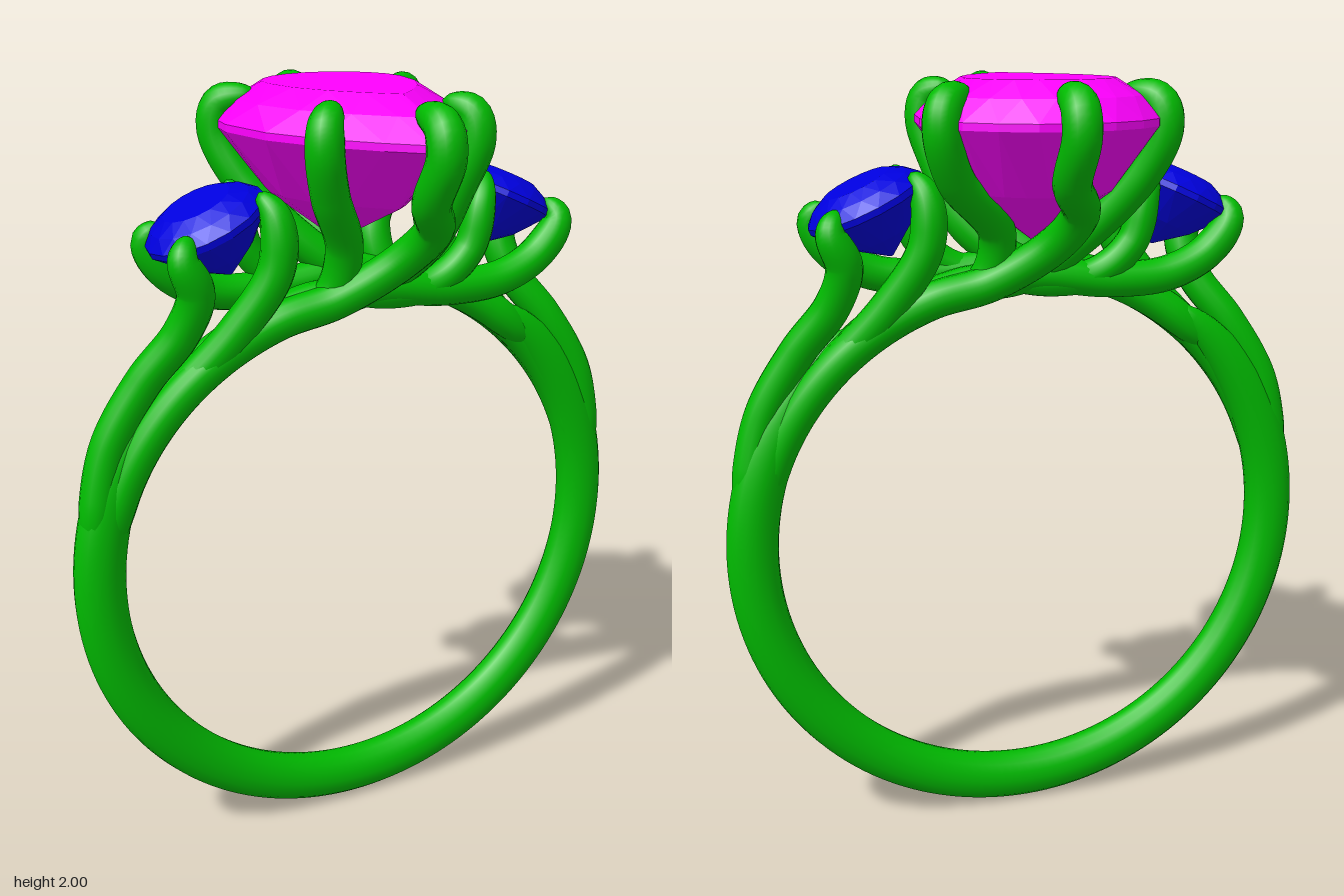
import * as THREE from 'three';

const metal = new THREE.MeshStandardMaterial({ color: 0x00bb00 });
const pink = new THREE.MeshStandardMaterial({ color: 0xff00ff, flatShading: true });
const blue = new THREE.MeshStandardMaterial({ color: 0x0000dd, flatShading: true });

const hoopY = 0.802;

// Points on a circle about the finger, angle in degrees from the top, easing out to z
function arc(radius, from, to, z, steps) {
  return Array.from({ length: steps + 1 }, (_, i) => {
    const t = i / steps;
    const a = THREE.MathUtils.degToRad(from + (to - from) * t);
    return [Math.sin(a) * radius, hoopY + Math.cos(a) * radius, z * t ** 1.4];
  });
}

// Claw gripping the centre stone at the girdle point (x, z) and bending inwards
function claw(x, z) {
  const steps = [[0.87, 1.77], [1.02, 1.88], [0.98, 1.945], [0.72, 1.972]];
  return steps.map(([k, y]) => [x * k, y, z * k]);
}

// Tube along points, both ends tapering to a rounded point over the given length
function strand(name, pts, radius, taper = 0.15) {
  const curve = new THREE.CatmullRomCurve3(pts.map(p => new THREE.Vector3(...p)));
  const seg = 128, sides = 16;
  const geo = new THREE.TubeGeometry(curve, seg, radius, sides);
  const { position, normal } = geo.attributes;
  const v = new THREE.Vector3(), w = new THREE.Vector3();
  const length = curve.getLength();
  for (let i = 0; i <= seg; i++) {
    const c = curve.getPointAt(i / seg);
    const d = Math.min(1, Math.min(i, seg - i) / seg * length / taper);
    const k = Math.sqrt(1 - (1 - d) ** 2);
    for (let j = 0; j <= sides; j++) {
      const n = i * (sides + 1) + j;
      v.fromBufferAttribute(position, n).sub(c).multiplyScalar(k).add(c);
      position.setXYZ(n, v.x, v.y, v.z);
    }
  }
  geo.computeVertexNormals();
  // smooth the shading across the tube seam
  for (let i = 0; i <= seg; i++) {
    const a = i * (sides + 1), b = a + sides;
    v.fromBufferAttribute(normal, a).add(w.fromBufferAttribute(normal, b)).normalize();
    normal.setXYZ(a, v.x, v.y, v.z);
    normal.setXYZ(b, v.x, v.y, v.z);
  }
  const mesh = new THREE.Mesh(geo, metal);
  mesh.name = name;
  return mesh;
}

// Faceted stone: rings of [scale, y, angular offset in steps] from culet up to table
function gem(name, outline, n, rings, zc, material) {
  const at = (r, i) => {
    const [s, y, off] = rings[r];
    const [x, z] = outline(((i + off) / n) * Math.PI * 2);
    return [x * s, y, zc + (z - zc) * s];
  };
  const out = [];
  const top = rings.length - 1;
  for (let i = 0; i < n; i++) {
    for (let r = 0; r < top; r++) {
      out.push(...at(r, i), ...at(r, i + 1), ...at(r + 1, i));
      out.push(...at(r, i + 1), ...at(r + 1, i + 1), ...at(r + 1, i));
    }
    out.push(...at(top, i), ...at(top, i + 1), 0, rings[top][1], zc);
    out.push(...at(0, i + 1), ...at(0, i), 0, rings[0][1], zc);
  }
  const geo = new THREE.BufferGeometry();
  geo.setAttribute('position', new THREE.Float32BufferAttribute(out, 3));
  geo.computeVertexNormals();
  const mesh = new THREE.Mesh(geo, material);
  mesh.name = name;
  return mesh;
}

export function createModel() {
  const ring = new THREE.Group();
  ring.name = 'threeStoneRing';

  // Band: open hoop whose upper ends thin out among the strands
  const band = strand('band', arc(0.733, 36, 324, 0, 36), 0.067, 0.5);
  band.scale.z = 0.82;
  band.position.z = -0.005;
  ring.add(band);

  // Each strand exists twice: in front, and turned half way round at the back
  const addPair = (name, radius, path, frontTip = [], backTip = []) => {
    const turned = path.map(([x, y, z]) => [-x, y, -z]);
    ring.add(strand(name + 'Front', [...path, ...frontTip], radius));
    ring.add(strand(name + 'Back', [...turned, ...backTip], radius));
  };
  const shoulder = (to, z) => arc(0.714, -82, to, z, 6);

  // Prongs of the side stone next to the shoulder
  addPair('outerSideProng', 0.046, [
    [-0.738, 0.9, 0], [-0.732, 1.0, 0], [-0.69, 1.18, 0], [-0.6, 1.34, 0.025], [-0.515, 1.46, 0.07],
    [-0.488, 1.56, 0.105], [-0.52, 1.645, 0.115], [-0.495, 1.695, 0.09],
  ]);
  addPair('innerSideProng', 0.046, [
    ...shoulder(-44, 0.04), [-0.38, 1.45, 0.085], [-0.29, 1.6, 0.125], [-0.285, 1.72, 0.12], [-0.315, 1.78, 0.09],
  ]);

  // Prongs of the centre stone
  addPair('endProng', 0.047, [...shoulder(-10, 0.12), [0.015, 1.6, 0.19], [0.055, 1.69, 0.275]],
    claw(0, 0.405), claw(0, -0.42));
  addPair('farCornerProng', 0.047, [...shoulder(-2, 0.08), [0.12, 1.62, 0.13]],
    claw(0.2, 0.212), claw(-0.272, -0.245));
  addPair('nearCornerProng', 0.047, [...arc(0.714, -48, -11, 0.09, 3), [-0.11, 1.63, 0.13]],
    claw(-0.2, 0.212), claw(0.272, -0.245));

  // Strand crossing beneath the centre stone to hold the far side stone
  addPair('bridgeStrand', 0.046, [
    ...shoulder(0, 0.09), [0.2, 1.495, 0.105], [0.36, 1.505, 0.11],
    [0.47, 1.56, 0.112], [0.525, 1.645, 0.115], [0.5, 1.695, 0.09],
  ]);
  addPair('bridgeBranch', 0.042, [
    [-0.1, 1.505, 0.08], [0.15, 1.51, 0.105], [0.25, 1.59, 0.12], [0.285, 1.71, 0.12], [0.315, 1.78, 0.09],
  ]);

  // Centre stone: rounded at the back, pointed at the front
  const pear = a => {
    const c = Math.cos(a), s = Math.sin(a);
    return c > 0 ? [0.3 * s * Math.abs(s), -0.13 + 0.55 * c] : [0.3 * s, -0.13 + 0.285 * c];
  };
  ring.add(gem('centreStone', pear, 20, [
    [0.02, 1.6, -0.5], [0.6, 1.73, -0.5], [1, 1.89, 0], [1, 1.908, 0], [0.84, 1.96, 0.5], [0.62, 2, 1],
  ], -0.12, pink));

  // Side stones: round, tilted outwards
  const round = a => [0.157 * Math.sin(a), 0.157 * Math.cos(a)];
  for (const side of [-1, 1]) {
    const stone = gem(side > 0 ? 'leftSideStone' : 'rightSideStone', round, 16, [
      [0.03, -0.145, -0.5], [0.55, -0.085, -0.5], [1, -0.008, 0], [1, 0.008, 0], [0.82, 0.035, 0.5], [0.56, 0.055, 1],
    ], 0, blue);
    stone.position.set(side * 0.41, 1.7, -0.01);
    stone.rotation.z = -side * 0.44;
    ring.add(stone);
  }
  return ring;
}
